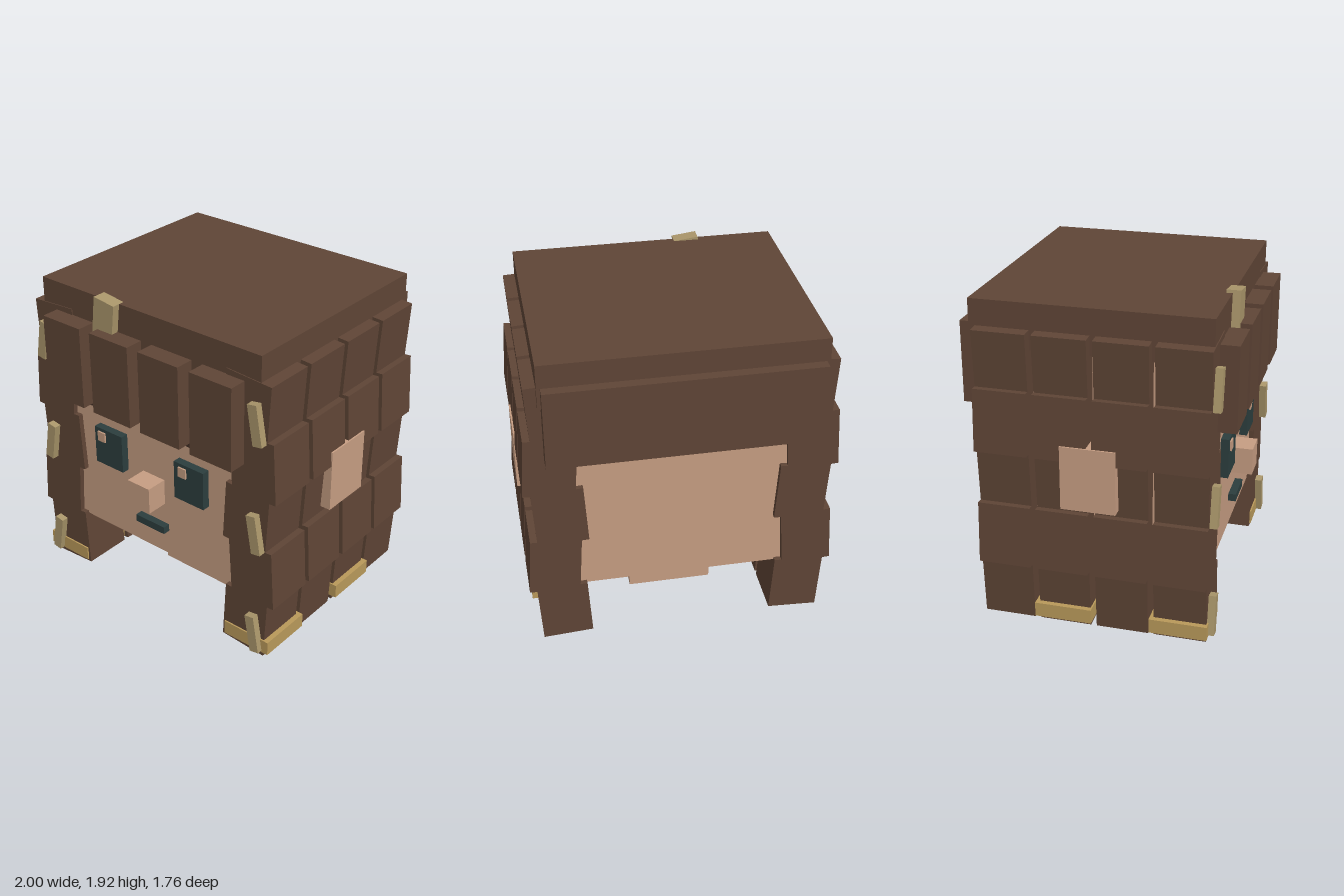
import * as THREE from 'three';

const material = (name, color) => {
  const m = new THREE.MeshStandardMaterial({ color });
  m.name = name;
  return m;
};

export function createModel() {
  const hair = material('brown hair', 0x5f4536);
  const brow = material('dark brown', 0x432f25);
  const skin = material('skin', 0xc69d82);
  const eye = material('dark teal', 0x2c3e3e);
  const tan = material('tan beads', 0xab976b);
  const gold = material('gold', 0xb9995a);

  // The whole head is turned slightly about the vertical axis
  const group = new THREE.Group();
  group.name = 'blockHead';
  group.rotation.y = -THREE.MathUtils.degToRad(12);

  const box = (name, mat, [w, h, d], [x, y, z], tilt = 0) => {
    const mesh = new THREE.Mesh(new THREE.BoxGeometry(w, h, d), mat);
    mesh.name = name;
    mesh.position.set(x, y, z);
    mesh.rotation.z = tilt;
    group.add(mesh);
    return mesh;
  };

  // Head and neck
  box('head', skin, [1.47, 1.3, 1.24], [0, 1.04, 0]);
  box('neck', skin, [0.5, 0.5, 0.5], [0, 0.25, 0]);

  // Hair on top and at the back
  box('hairCap', hair, [1.55, 0.26, 1.33], [0, 1.77, -0.02]);
  box('backHair', hair, [1.51, 0.465, 0.105], [0, 1.5325, -0.691]);

  // Fringe
  for (let i = 0; i < 4; i++) {
    box('fringeLock', hair, [0.28, 0.49, 0.145], [(i - 1.5) * 0.355, 1.485, 0.683]);
  }

  // Face
  box('nose', skin, [0.16, 0.16, 0.15], [0, 0.805, 0.675]);
  box('mouth', eye, [0.215, 0.045, 0.06], [0, 0.573, 0.635]);
  for (const side of [-1, 1]) {
    box('eye', eye, [0.21, 0.235, 0.06], [side * 0.302, 0.963, 0.637]);
    box('eyeHighlight', skin, [0.055, 0.06, 0.02], [side * 0.305 - 0.045, 1.03, 0.667]);
    box('eyebrow', brow, [0.305, 0.07, 0.05], [side * 0.302, 1.235, 0.63]);
  }

  // Hair clip
  box('hairClip', tan, [0.145, 0.27, 0.08], [-0.275, 1.775, 0.65], -0.12);

  for (const side of [-1, 1]) {
    // Braids: four columns of blocks that lean in and out by turns
    for (let col = 0; col < 4; col++) {
      const z = 0.5 - col * 0.333;
      for (let row = 0; row < 5; row++) {
        const out = row % 2 === 1;
        box('braidBlock', hair, [0.29, 0.36, 0.3],
          [side * (out ? 0.73 : 0.688), 1.577 - row * 0.34, z],
          side * (out ? 0.06 : -0.06));
      }
      // Gold band round every second braid
      if (col % 2 === 0) box('braidBand', gold, [0.31, 0.085, 0.33], [side * 0.705, 0.102, z - 0.006]);
    }

    // Beads on the front braid
    for (let i = 0; i < 3; i++) {
      box('braidBead', tan, [0.06, 0.235, 0.07], [side * 0.77, 1.522 - i * 0.67, 0.657], side * 0.17);
    }

    box('ear', skin, [0.17, 0.37, 0.31], [side * 0.805, 0.97, -0.005]);
  }

  const model = new THREE.Group();
  model.name = 'model';
  model.add(group);
  return model;
}
